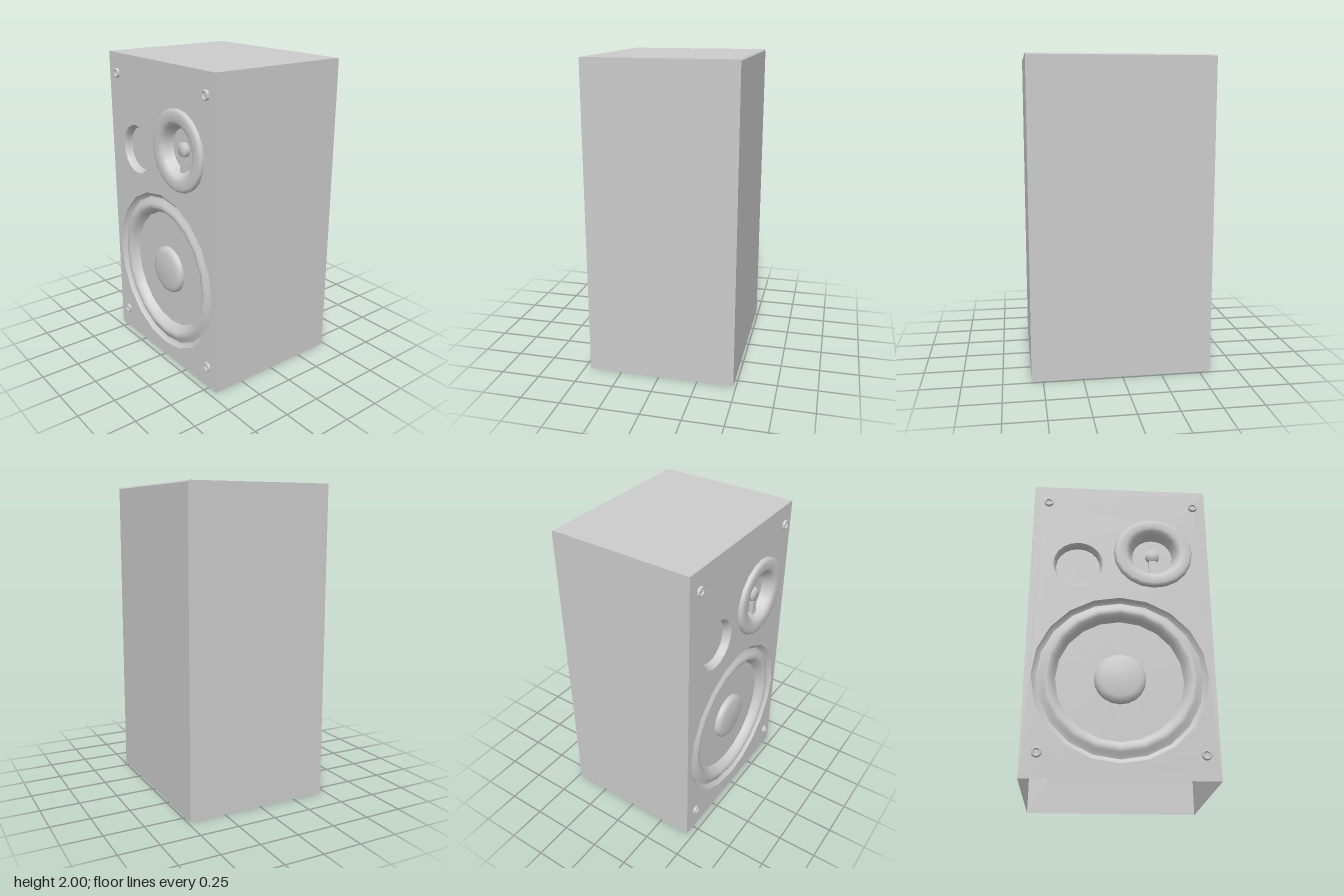
import * as THREE from 'three';
import { toCreasedNormals } from 'three/addons/utils/BufferGeometryUtils.js';

const SIDES = 20;
const FACE_X = -0.46; // plane of the baffle
const BACK_X = 0.483;
const HALF_Z = 0.572;
const HEIGHT = 2;
const material = new THREE.MeshStandardMaterial({ color: 0xcccccc, side: THREE.DoubleSide });

function addMesh(parent, name, geometry) {
  const mesh = new THREE.Mesh(geometry, material);
  mesh.name = name;
  parent.add(mesh);
  return mesh;
}

// Round part on the baffle: profile of [radius, height out of the baffle], rim first.
function addRound(parent, name, part) {
  const points = part.profile.map(([r, h]) => new THREE.Vector2(r, h));
  const geometry = toCreasedNormals(new THREE.LatheGeometry(points, SIDES), 0.75);
  const mesh = addMesh(parent, name, geometry);
  mesh.rotation.z = Math.PI / 2;
  mesh.position.set(FACE_X, part.y, part.z);
  return mesh;
}

// Polygonal hole that meets the rim of a round part.
function holeFor({ y, z, profile }) {
  const r = profile[0][0];
  const points = Array.from({ length: SIDES }, (_, i) => {
    const a = (i / SIDES) * Math.PI * 2;
    return new THREE.Vector2(z + r * Math.cos(a), y + r * Math.sin(a));
  });
  return new THREE.Path(points);
}

// Sunk cone with a raised surround and a rounded dust cap
const woofer = {
  y: 0.627, z: 0,
  profile: [[0.532, 0], [0.52, -0.016], [0.503, -0.025], [0.485, -0.02], [0.465, -0.006],
    [0.445, 0], [0.425, -0.007], [0.408, -0.028], [0.39, -0.06], [0.158, -0.06],
    [0.157, -0.042], [0.145, -0.028], [0.12, -0.021], [0, -0.02]],
};

// Raised ring around a flared recess
const tweeter = {
  y: 1.495, z: 0.2125,
  profile: [[0.255, 0], [0.254, 0.014], [0.248, 0.023], [0.235, 0.027], [0.185, 0.027],
    [0.168, 0.02], [0.155, 0.004], [0.142, -0.025], [0.13, -0.05], [0, -0.05]],
};

// Shallow flared port
const port = {
  y: 1.4, z: -0.27,
  profile: [[0.16, 0], [0.151, -0.01], [0.146, -0.025], [0.143, -0.05], [0, -0.05]],
};

// Grille pegs with a dished end
const pegProfile = [[0.03, 0], [0.03, 0.01], [0.026, 0.015], [0.02, 0.015], [0.016, 0.006], [0, 0.006]];
const pegs = [];
for (const y of [0.15, 1.87])
  for (const z of [-0.475, 0.49]) pegs.push({ y, z, profile: pegProfile });

export function createModel() {
  const model = new THREE.Group();
  model.name = 'loudspeaker';

  // Cabinet: thin shell, open underneath
  const cabinet = new THREE.Group();
  cabinet.name = 'cabinet';
  model.add(cabinet);
  const outline = [[FACE_X, HEIGHT], [BACK_X - 0.008, HEIGHT], [BACK_X, HEIGHT - 0.008], [BACK_X, 0]];
  const wrap = new THREE.PlaneGeometry(1, 1, outline.length - 1, 1);
  const pos = wrap.attributes.position;
  for (let i = 0; i < pos.count; i++) {
    const [x, y] = outline[i % outline.length];
    pos.setXYZ(i, x, y, i < outline.length ? -HALF_Z : HALF_Z);
  }
  addMesh(cabinet, 'topAndRearPanel', toCreasedNormals(wrap, 0.3));

  const sideShape = new THREE.Shape(
    [[FACE_X, 0], ...outline.slice().reverse()].map(([x, y]) => new THREE.Vector2(x, y)));
  for (const side of [-1, 1]) {
    const panel = new THREE.ShapeGeometry(sideShape);
    if (side < 0) {
      // Mirrored panel: turn it round, keeping its outline in place
      panel.scale(-1, 1, 1);
      panel.index.array.reverse();
      panel.rotateY(Math.PI);
      panel.computeVertexNormals();
    }
    panel.translate(0, 0, side * HALF_Z);
    addMesh(cabinet, side < 0 ? 'sidePanelBack' : 'sidePanelFront', panel);
  }

  // Baffle, pierced for every round part
  const baffle = new THREE.Shape([[-HALF_Z, 0], [HALF_Z, 0], [HALF_Z, HEIGHT], [-HALF_Z, HEIGHT]]
    .map(([z, y]) => new THREE.Vector2(z, y)));
  baffle.holes = [woofer, tweeter, port, ...pegs].map(holeFor);
  const baffleGeometry = new THREE.ShapeGeometry(baffle);
  baffleGeometry.rotateY(-Math.PI / 2);
  baffleGeometry.translate(FACE_X, 0, 0);
  addMesh(cabinet, 'baffle', baffleGeometry);

  addRound(model, 'woofer', woofer);
  addRound(model, 'tweeter', tweeter);
  addRound(model, 'port', port);
  pegs.forEach((peg) => addRound(model, 'grillePeg', peg));

  // Hub and strut in front of the tweeter recess
  addRound(model, 'tweeterHub', {
    y: tweeter.y, z: tweeter.z,
    profile: [[0.045, -0.05], [0.045, -0.026], [0.036, -0.018], [0, -0.016]],
  });
  const strut = addMesh(model, 'tweeterStrut', new THREE.BoxGeometry(0.025, 0.1, 0.045));
  strut.position.set(FACE_X + 0.034, tweeter.y - 0.09, tweeter.z);

  return model;
}
